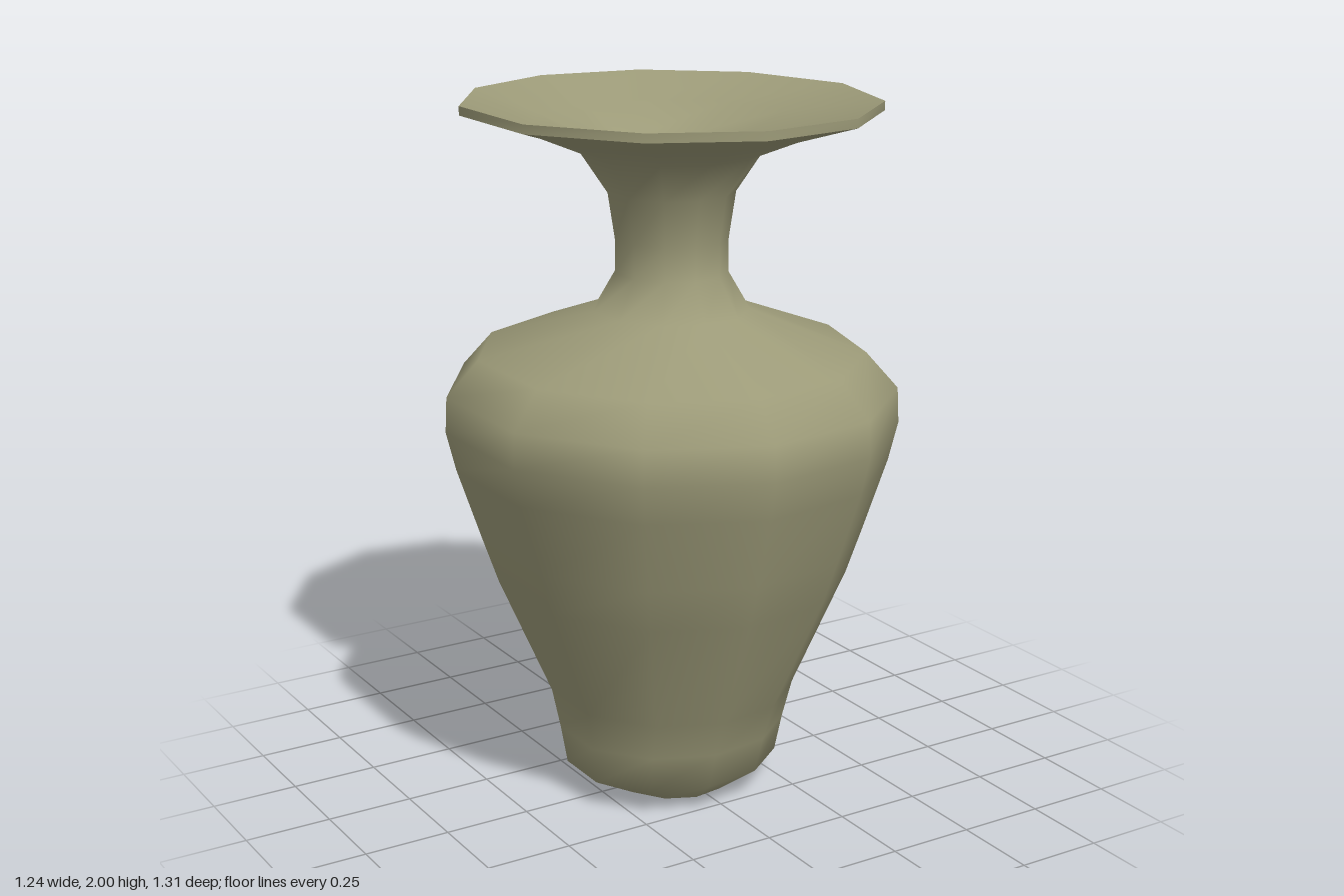
import * as THREE from 'three';

// Slightly irregular eleven-sided outline (front half, mirrored to the back)
const half = [[0.959, 0], [0.791, 0.565], [0.379, 0.924], [-0.133, 1], [-0.606, 0.779], [-0.927, 0.305]];
const outline = [...half, ...half.slice(1).reverse().map(([x, z]) => [x, -z])];
const axisX = -0.013;

// Skin a profile of [radius, height, optional depth scale], smooth within one part
function loft(name, profile, material) {
  const n = outline.length, positions = [], index = [];
  for (const [r, y, depth = 1] of profile) {
    for (const [x, z] of outline) positions.push(axisX + x * r, y, z * r * depth);
  }
  for (let j = 0; j < profile.length - 1; j++) {
    for (let i = 0; i < n; i++) {
      const k = (i + 1) % n;
      const a = j * n + i, b = j * n + k, c = a + n, d = b + n;
      if (profile[j][0] > 0) index.push(a, c, b);
      if (profile[j + 1][0] > 0) index.push(b, c, d);
      else if (profile[j][0] > 0) index.splice(-3, 3, a, c, b);
    }
  }
  const geometry = new THREE.BufferGeometry();
  geometry.setAttribute('position', new THREE.Float32BufferAttribute(positions, 3));
  geometry.setIndex(index);
  geometry.computeVertexNormals();
  const mesh = new THREE.Mesh(geometry, material);
  mesh.name = name;
  return mesh;
}

export function createModel() {
  const group = new THREE.Group();
  group.name = 'vase';
  const clay = new THREE.MeshStandardMaterial({ color: 0x9c9a78, side: THREE.DoubleSide });

  // Flat underside
  group.add(loft('base', [[0, 0], [0.175, 0]], clay));

  // Foot, belly, shoulder, neck and flared mouth
  group.add(loft('body', [
    [0.175, 0], [0.328, 0.08, 0.85], [0.345, 0.19, 0.9], [0.366, 0.305, 0.97],
    [0.515, 0.65], [0.56, 0.78], [0.63, 0.99], [0.657, 1.1], [0.652, 1.2],
    [0.56, 1.3], [0.226, 1.42], [0.163, 1.525], [0.163, 1.62], [0.183, 1.75],
    [0.258, 1.86], [0.41, 1.92], [0.594, 1.975],
  ], clay));

  // Thin upright edge of the mouth
  group.add(loft('rim', [[0.594, 1.975], [0.594, 2]], clay));

  // Funnel running down into the neck
  group.add(loft('funnel', [
    [0.594, 2], [0.4, 1.94], [0.24, 1.88], [0.16, 1.77], [0.13, 1.66], [0, 1.58],
  ], clay));

  return group;
}
